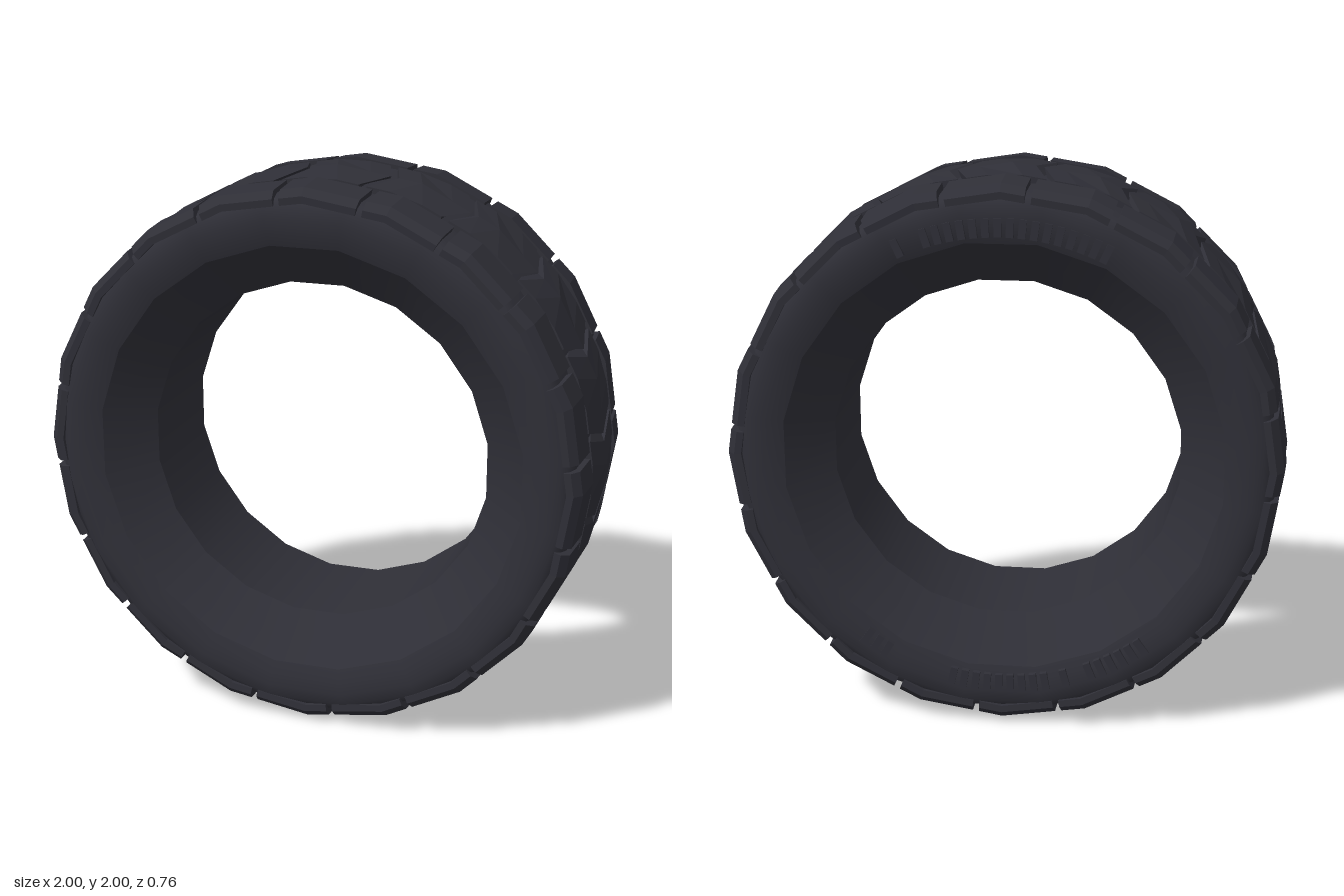
import * as THREE from 'three';

const rubber = new THREE.MeshStandardMaterial({ color: 0x2f2f37 });
rubber.name = 'dark rubber';

const DEG = Math.PI / 180;
const SIDES = 20;
const STEP = 360 / SIDES;
const GROOVE = 5.7; // angle of the first cross groove

// Surface of revolution about z, from [z, radius] points
function ring(name, points) {
  const profile = points.map(([z, r]) => new THREE.Vector2(r, z));
  const geo = new THREE.LatheGeometry(profile, SIDES, 9 * DEG).rotateX(Math.PI / 2);
  const mesh = new THREE.Mesh(geo, rubber);
  mesh.name = name;
  return mesh;
}

// Radius factor that makes the tread a 20-sided polygon with corners at multiples of 18 degrees
function facet(angle) {
  const a = ((angle % STEP) + STEP) % STEP;
  return Math.cos(9 * DEG) / Math.cos((a - 9) * DEG);
}

// Tread block: a closed [z, radius] loop (counter-clockwise) swept through the angles,
// with each point turned by skew(z) to make the chevron
function blockGeometry(loop, angles, skew) {
  const pos = [];
  const n = loop.length;
  const point = (j, i) => {
    const [z, r] = loop[i % n];
    const a = angles[j] + skew(z);
    const rr = r * facet(a);
    return [rr * Math.cos(a * DEG), rr * Math.sin(a * DEG), z];
  };
  const tri = (a, b, c) => pos.push(...a, ...b, ...c);
  const last = angles.length - 1;
  for (let j = 0; j < last; j++) {
    for (let i = 0; i < n; i++) {
      const a = point(j, i), b = point(j, i + 1), c = point(j + 1, i + 1), d = point(j + 1, i);
      tri(a, b, c);
      tri(a, c, d);
    }
  }
  for (let i = 1; i < n - 1; i++) {
    tri(point(last, 0), point(last, i), point(last, i + 1));
    tri(point(0, 0), point(0, i + 1), point(0, i));
  }
  const geo = new THREE.BufferGeometry();
  geo.setAttribute('position', new THREE.Float32BufferAttribute(pos, 3));
  geo.computeVertexNormals();
  return geo;
}

// Copies of one block around the wheel
function blockRow(name, geo) {
  const row = new THREE.Group();
  row.name = name;
  for (let k = 0; k < SIDES; k++) {
    const mesh = new THREE.Mesh(geo, rubber);
    mesh.name = 'treadBlock';
    mesh.rotation.z = k * STEP * DEG;
    row.add(mesh);
  }
  return row;
}

export function createModel() {
  const tyre = new THREE.Group();
  tyre.name = 'tyre';
  tyre.position.y = 1;

  // Carcass: sidewalls and groove floor
  const half = [
    [0.2, 0.967], [0.32, 0.962], [0.352, 0.948], [0.37, 0.92],
    [0.375, 0.88], [0.371, 0.83], [0.355, 0.785],
  ];
  const back = half.map(([z, r]) => [-z, r]).reverse();
  tyre.add(ring('sidewallsAndGrooveFloor', [...back, ...half]));

  // Inside: sloping bead seats and the rim bore
  tyre.add(ring('frontBeadSlope', [[0.355, 0.785], [0.215, 0.628]]));
  tyre.add(ring('rimBore', [[0.215, 0.628], [-0.215, 0.628]]));
  tyre.add(ring('backBeadSlope', [[-0.215, 0.628], [-0.355, 0.785]]));

  // Centre chevron blocks
  const start = GROOVE - STEP;
  const centre = [[-0.19, 0.93], [0, 0.93], [0.19, 0.93], [0.19, 0.992], [0, 1], [-0.19, 0.992]];
  const chevron = (z) => (Math.abs(z) / 0.19) * 3.4 - 0.2;
  tyre.add(blockRow('centreTread',
    blockGeometry(centre, [start + 0.85, -7, 0, GROOVE - 0.85], chevron)));

  // Shoulder blocks, mirrored front and back
  const shoulder = [[0.212, 0.93], [0.372, 0.93], [0.374, 0.955], [0.347, 0.982], [0.212, 0.992]];
  const mirrored = shoulder.map(([z, r]) => [-z, r]).reverse();
  const span = [start + 0.7, 0, GROOVE - 0.7];
  tyre.add(blockRow('frontShoulderTread', blockGeometry(shoulder, span, () => 0)));
  tyre.add(blockRow('backShoulderTread', blockGeometry(mirrored, span, () => 0)));

  // Raised ribs on the back sidewall: [first angle, count]
  const ribs = new THREE.Group();
  ribs.name = 'backSidewallRibs';
  const ribGeo = new THREE.BoxGeometry(0.065, 0.026, 0.03);
  for (const [first, count] of [[65, 1], [72, 16], [233, 6], [254, 1], [259, 9], [300, 3]]) {
    for (let i = 0; i < count; i++) {
      const a = (first + i * 2.9) * DEG;
      const rib = new THREE.Mesh(ribGeo, rubber);
      rib.name = 'rib';
      rib.position.set(0.835 * Math.cos(a), 0.835 * Math.sin(a), -0.367);
      rib.rotation.z = a;
      ribs.add(rib);
    }
  }
  tyre.add(ribs);

  const model = new THREE.Group();
  model.name = 'tyreModel';
  model.add(tyre);
  return model;
}
